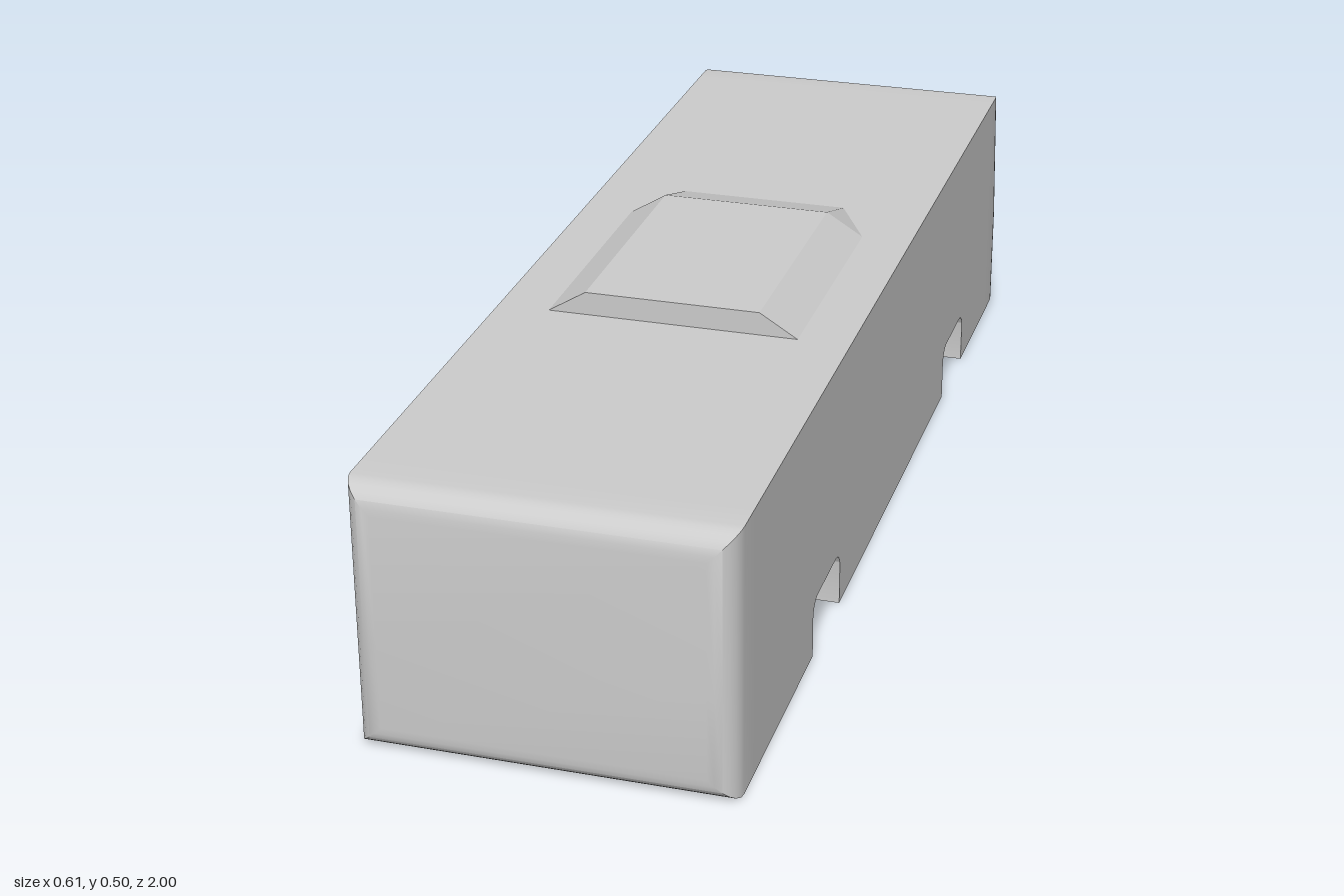
import * as THREE from 'three';
import { toCreasedNormals } from 'three/addons/utils/BufferGeometryUtils.js';
import { ConvexGeometry } from 'three/addons/geometries/ConvexGeometry.js';

const HALF_W = 0.304, H = 0.456, R = 0.045;
const FRONT_JOIN = 0.9, BACK_JOIN = -0.88;

// Side profile of the middle section, with a rounded notch for each axle
function middleGeometry() {
  const s = new THREE.Shape();
  const top = 0.1, r = 0.03;
  s.moveTo(BACK_JOIN, 0);
  for (const [a, b] of [[-0.65, -0.47], [0.36, 0.54]]) {
    s.lineTo(a, 0);
    s.lineTo(a, top - r);
    s.absarc(a + r, top - r, r, Math.PI, Math.PI / 2, true);
    s.lineTo(b - r, top);
    s.absarc(b - r, top - r, r, Math.PI / 2, 0, true);
    s.lineTo(b, 0);
  }
  s.lineTo(FRONT_JOIN, 0);
  s.lineTo(FRONT_JOIN, H);
  s.lineTo(BACK_JOIN, H);
  s.closePath();
  const g = new THREE.ExtrudeGeometry(s, { depth: 2 * HALF_W, bevelEnabled: false, curveSegments: 6 });
  return toCreasedNormals(g.translate(0, 0, -HALF_W).rotateY(-Math.PI / 2), 0.6);
}

// End section: rectangular rings shrinking along a quarter circle; lean pulls the upper half inward
function endGeometry(join, lean) {
  const rings = [[join, 0]];
  const steps = 6, bend = 0.19;
  for (let i = 0; i <= steps; i++) {
    const t = (i / steps) * Math.PI / 2;
    rings.push([1 - R + R * Math.sin(t), R * (1 - Math.cos(t))]);
  }
  const pos = [], idx = [];
  rings.forEach(([z, inset], k) => {
    const w = HALF_W - inset, lo = inset, hi = H - inset;
    for (const [x, y] of [[w, lo], [w, bend], [w, hi], [-w, hi], [-w, bend], [-w, lo]]) {
      const shift = k === 0 ? 0 : lean * Math.max(0, (y - bend) / (H - bend));
      pos.push(x, y, z - shift);
    }
  });
  for (let k = 0; k < rings.length - 1; k++) {
    for (let j = 0; j < 6; j++) {
      const a = k * 6 + j, b = k * 6 + (j + 1) % 6;
      idx.push(a, b, b + 6, a, b + 6, a + 6);
    }
  }
  const c = (rings.length - 1) * 6;
  for (const [p, q, r, s] of [[5, 0, 1, 4], [4, 1, 2, 3]]) {
    idx.push(c + p, c + q, c + r, c + p, c + r, c + s);
  }
  const g = new THREE.BufferGeometry();
  g.setAttribute('position', new THREE.Float32BufferAttribute(pos, 3));
  g.setIndex(idx);
  return toCreasedNormals(g, 0.6);
}

// Low roof unit: upright front, sloping sides and a ramp towards the back
function roofUnitGeometry() {
  const pts = [];
  for (const s of [-1, 1]) {
    pts.push(
      new THREE.Vector3(s * 0.215, H, 0.315),
      new THREE.Vector3(s * 0.215, H, -0.14),
      new THREE.Vector3(s * 0.15, H, -0.265),
      new THREE.Vector3(s * 0.15, 0.496, 0.315),
      new THREE.Vector3(s * 0.15, 0.496, -0.14)
    );
  }
  return new ConvexGeometry(pts);
}

export function createModel() {
  const group = new THREE.Group();
  group.name = 'busBody';
  const material = new THREE.MeshStandardMaterial({ color: 0xcccccc });
  const add = (name, geometry) => {
    const mesh = new THREE.Mesh(geometry, material);
    mesh.name = name;
    group.add(mesh);
  };
  add('middleSection', middleGeometry());
  add('frontEnd', endGeometry(FRONT_JOIN, 0));
  add('backEnd', endGeometry(-BACK_JOIN, 0.032).rotateY(Math.PI));
  add('roofUnit', roofUnitGeometry());
  return group;
}
